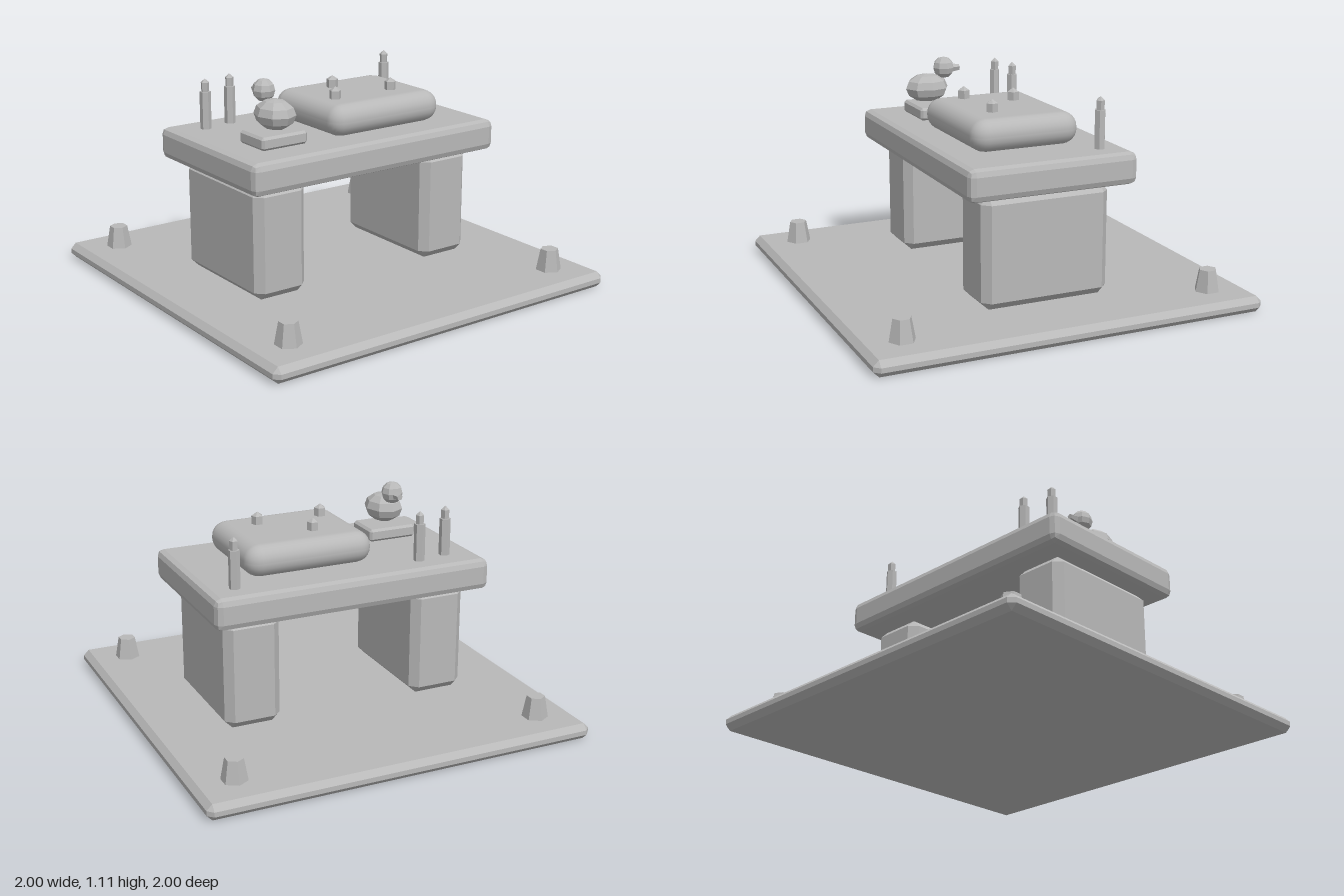
import * as THREE from 'three';
import { RoundedBoxGeometry } from 'three/addons/geometries/RoundedBoxGeometry.js';
import { ConvexGeometry } from 'three/addons/geometries/ConvexGeometry.js';

// Box with flat chamfers of size c on every edge
function chamferBox(w, h, d, c) {
  const points = [];
  for (const x of [-w / 2, w / 2]) for (const y of [-h / 2, h / 2]) for (const z of [-d / 2, d / 2]) {
    const sx = Math.sign(x) * c, sy = Math.sign(y) * c, sz = Math.sign(z) * c;
    points.push(
      new THREE.Vector3(x, y - sy, z - sz),
      new THREE.Vector3(x - sx, y, z - sz),
      new THREE.Vector3(x - sx, y - sy, z));
  }
  return new ConvexGeometry(points);
}

export function createModel() {
  const model = new THREE.Group();
  model.name = 'stoneAltar';
  const stone = new THREE.MeshStandardMaterial({ color: 0xb8b8b8 });

  const add = (parent, name, geometry, x, y, z, flat = true) => {
    const mesh = new THREE.Mesh(flat && geometry.index ? geometry.toNonIndexed() : geometry, stone);
    if (flat) mesh.geometry.computeVertexNormals();
    mesh.name = name;
    mesh.position.set(x, y, z);
    parent.add(mesh);
    return mesh;
  };
  const group = (name) => {
    const g = new THREE.Group();
    g.name = name;
    model.add(g);
    return g;
  };

  // Floor slab and corner posts
  add(model, 'floorSlab', chamferBox(2, 0.08, 2, 0.028), 0, 0.04, 0);
  for (const x of [-0.8, 0.8]) for (const z of [-0.8, 0.8]) {
    add(model, 'cornerPost', new THREE.CylinderGeometry(0.045, 0.065, 0.11, 6), x, 0.135, z);
  }

  // Two supports and the table slab
  for (const x of [-0.507, 0.505]) {
    add(model, 'support', chamferBox(0.29, 0.56, 0.665, 0.04), x, 0.36, 0);
  }
  add(model, 'tableSlab', new RoundedBoxGeometry(1.46, 0.16, 0.875, 1, 0.035), 0, 0.72, 0);

  // Soft cushion with three studs
  add(model, 'cushion', new RoundedBoxGeometry(0.67, 0.16, 0.56, 3, 0.077), 0.157, 0.88, 0.025, false);
  for (const [x, z] of [[0.08, -0.08], [-0.055, 0.13], [0.29, 0.13]]) {
    const stud = group('stud');
    stud.position.set(x, 0, z);
    add(stud, 'studBody', new THREE.CylinderGeometry(0.03, 0.03, 0.05, 5), 0, 0.977, 0);
    add(stud, 'studTip', new THREE.ConeGeometry(0.03, 0.02, 5), 0, 1.012, 0);
  }

  // Candles with small pointed flames
  for (const [x, z] of [[-0.56, -0.27], [-0.4, -0.3], [0.585, -0.3]]) {
    const candle = group('candle');
    candle.position.set(x, 0, z);
    add(candle, 'candleStick', new THREE.CylinderGeometry(0.028, 0.028, 0.195, 6), 0, 0.8925, 0);
    add(candle, 'flameBase', new THREE.CylinderGeometry(0.022, 0.02, 0.045, 5), 0, 1.0125, 0);
    add(candle, 'flameTip', new THREE.ConeGeometry(0.022, 0.02, 5), 0, 1.045, 0);
  }

  // Small bird figure on a plinth, facing the back
  add(model, 'plinth', chamferBox(0.26, 0.065, 0.205, 0.012), -0.44, 0.8325, 0.158);
  const bird = group('bird');
  bird.position.set(-0.443, 0, 0);
  const body = add(bird, 'body', new THREE.SphereGeometry(1, 8, 6), 0, 0.948, 0.175);
  body.scale.set(0.096, 0.075, 0.117);
  add(bird, 'head', new THREE.SphereGeometry(0.057, 8, 6), 0, 1.048, 0.08);
  const beak = add(bird, 'beak', new THREE.CylinderGeometry(0.016, 0.024, 0.05, 5), 0, 1.042, 0.017);
  beak.rotation.x = -Math.PI / 2;

  return model;
}
